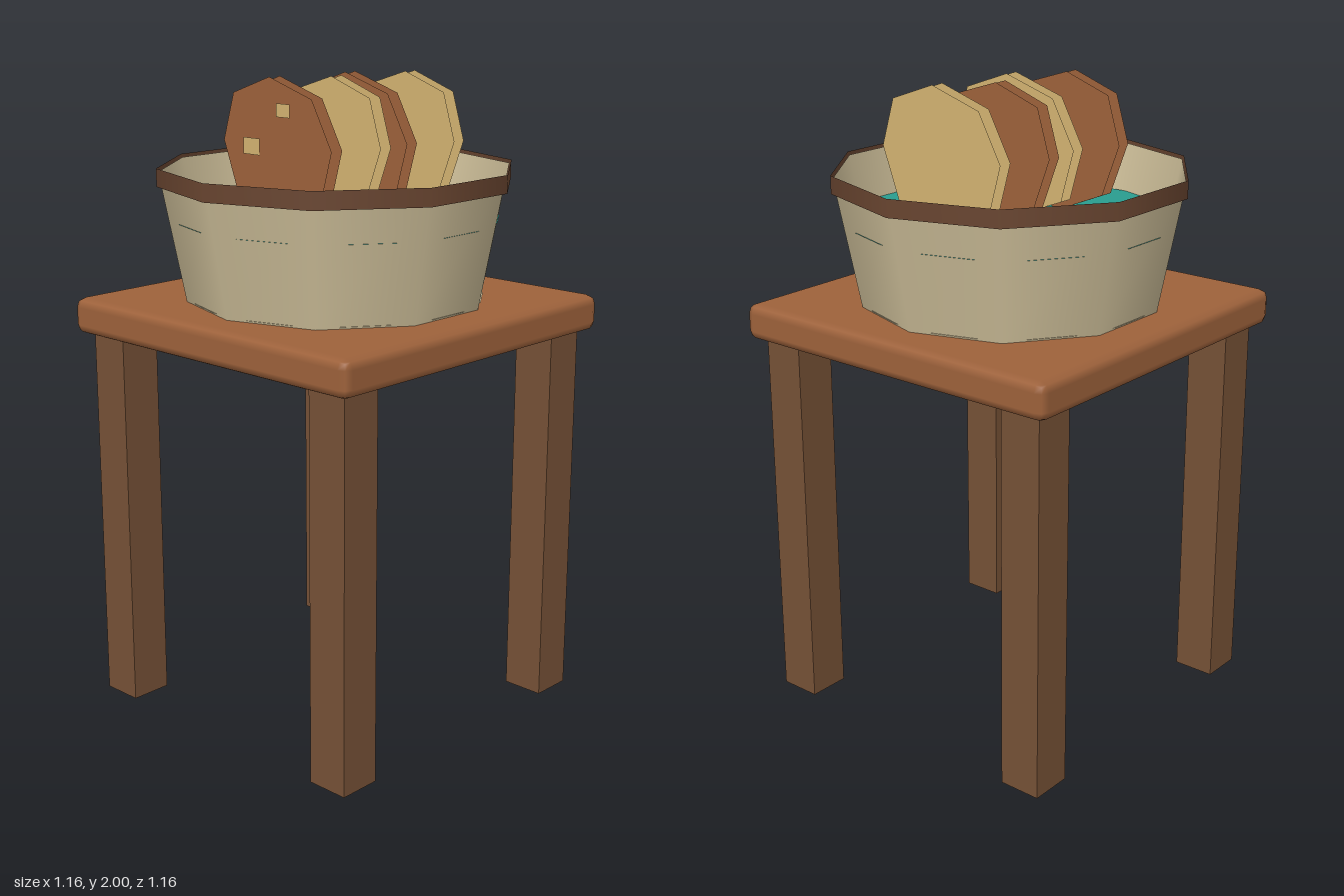
import * as THREE from 'three';
import { RoundedBoxGeometry } from 'three/addons/geometries/RoundedBoxGeometry.js';

const mat = (name, color) => {
  const m = new THREE.MeshStandardMaterial({ color, side: THREE.DoubleSide });
  m.name = name;
  return m;
};

export function createModel() {
  const wood = mat('warm wood', 0x9e623b);
  const legWood = mat('leg wood', 0x765136);
  const rimWood = mat('dark rim wood', 0x694530);
  const clay = mat('pale clay', 0xcfc09a);
  const teal = mat('teal water', 0x2a9d8f);
  const tan = mat('tan', 0xd4b472);

  const model = new THREE.Group();
  model.name = 'basinOnStool';
  const add = (parent, name, geo, material, x = 0, y = 0, z = 0) => {
    const mesh = new THREE.Mesh(geo, material);
    mesh.name = name;
    mesh.position.set(x, y, z);
    parent.add(mesh);
    return mesh;
  };

  // Stool: bevelled seat on four square legs, open at the ends
  add(model, 'seat', new RoundedBoxGeometry(1.16, 0.115, 1.16, 1, 0.03), wood, 0, 1.2625, 0);
  const legRadius = 0.135 / Math.SQRT2;
  const legTube = new THREE.CylinderGeometry(legRadius, legRadius, 1.21, 4, 1, true);
  legTube.rotateY(Math.PI / 4);
  const legGeo = legTube.toNonIndexed();
  legGeo.computeVertexNormals();
  for (const x of [-0.467, 0.467]) {
    for (const z of [-0.467, 0.467]) add(model, 'leg', legGeo, legWood, x, 0.605, z);
  }

  // Basin: ten-sided flared wall, upright rim band and floor
  add(model, 'basinWall', new THREE.CylinderGeometry(0.545, 0.468, 0.4, 10, 1, true), clay, 0, 1.52, 0);
  add(model, 'basinRim', new THREE.CylinderGeometry(0.551, 0.551, 0.055, 10, 1, true), rimWood, 0, 1.7025, 0);
  const disc = (r) => new THREE.CircleGeometry(r, 20).rotateZ(Math.PI / 20).rotateX(-Math.PI / 2);
  add(model, 'basinFloor', disc(0.455), clay, 0, 1.326, 0);
  // Water surface just breaks through the middle of each wall panel
  add(model, 'water', disc(0.5), teal, 0, 1.572, 0);

  // Slices: a pair of flat eight-sided faces each, alternating in colour
  const outline = [
    [-0.23, 0.03], [-0.185, 0.175], [-0.03, 0.23], [0.145, 0.175],
    [0.225, 0.03], [0.18, -0.13], [0, -0.2], [-0.17, -0.13],
  ];
  const sliceFace = (mirror) => new THREE.ShapeGeometry(
    new THREE.Shape(outline.map(([x, y]) => new THREE.Vector2(x * mirror, y))));
  const brownFace = sliceFace(1);
  const tanFace = sliceFace(-1);
  const slices = [
    ['brownSlice', brownFace, wood, -0.05, 0.185],
    ['tanSlice', tanFace, tan, 0.005, 0.04],
    ['brownSlice', brownFace, wood, -0.01, -0.1],
    ['tanSlice', tanFace, tan, 0.043, -0.25],
  ];
  for (const [name, geo, material, x, z] of slices) {
    const slice = new THREE.Group();
    slice.name = name;
    slice.position.set(x, 1.77, z);
    add(slice, name + 'Front', geo, material, 0, 0, 0.022);
    add(slice, name + 'Back', geo, material, 0, 0, -0.022);
    model.add(slice);
  }

  // Crumbs on the foremost slice
  add(model, 'crumb', new THREE.PlaneGeometry(0.07, 0.05), tan, -0.155, 1.79, 0.211);
  add(model, 'crumb', new THREE.PlaneGeometry(0.055, 0.04), tan, -0.02, 1.905, 0.211);

  return model;
}
